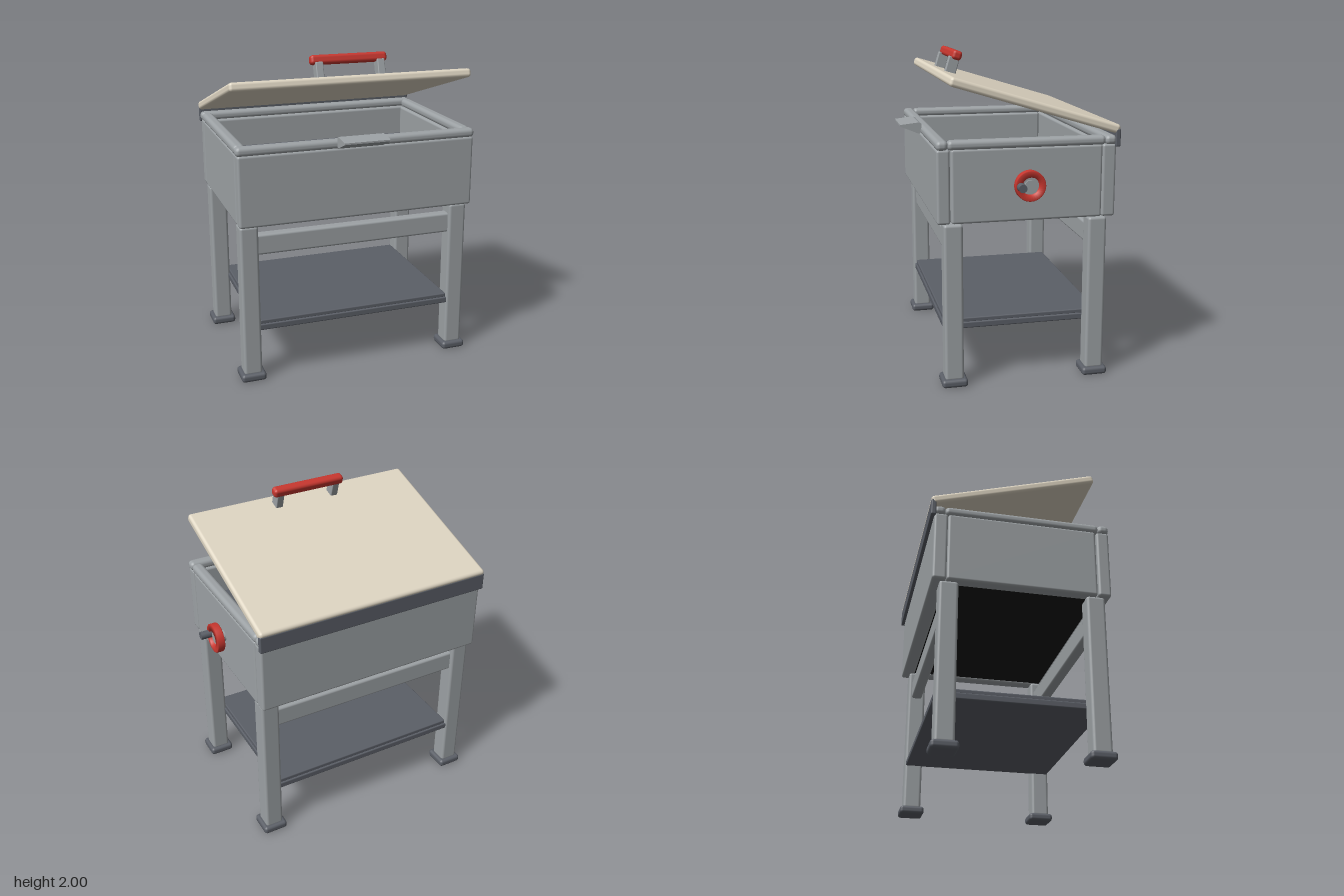
import * as THREE from 'three';
import { RoundedBoxGeometry } from 'three/addons/geometries/RoundedBoxGeometry.js';

function material(name, color) {
  const m = new THREE.MeshStandardMaterial({ color });
  m.name = name;
  return m;
}

export function createModel() {
  const steel = material('steel grey', 0x9da2a5);
  const dark = material('dark grey', 0x5b5f67);
  const cream = material('cream enamel', 0xdfd6c3);
  const red = material('red', 0xc8372f);
  const black = material('black', 0x141414);

  const model = new THREE.Group();
  model.name = 'grillCart';

  const add = (name, geometry, mat, x, y, z, parent = model) => {
    const mesh = new THREE.Mesh(geometry, mat);
    mesh.name = name;
    mesh.position.set(x, y, z);
    parent.add(mesh);
    return mesh;
  };
  // Rounded block given by its limits on each axis
  const block = (name, mat, [x0, x1], [y0, y1], [z0, z1], r, parent) =>
    add(name, new RoundedBoxGeometry(x1 - x0, y1 - y0, z1 - z0, 2, r), mat,
      (x0 + x1) / 2, (y0 + y1) / 2, (z0 + z1) / 2, parent);
  // Cylinder lying along x
  const rod = (name, mat, r, x0, x1, y, z) => {
    const g = new THREE.CylinderGeometry(r, r, x1 - x0, 24).rotateZ(-Math.PI / 2);
    return add(name, g, mat, (x0 + x1) / 2, y, z);
  };

  const cx = -0.06, cz = -0.053;

  // Legs, feet and long rails
  for (const sz of [-1, 1]) {
    const z = cz + sz * 0.445;
    for (const sx of [-1, 1]) {
      const x = cx + sx * 0.69;
      block('leg', steel, [x - 0.058, x + 0.058], [0.04, 1.025], [z - 0.058, z + 0.058], 0.018);
      block('foot', dark, [x - 0.08, x + 0.08], [0, 0.052], [z - 0.08, z + 0.08], 0.02);
    }
    block('rail', steel, [-0.71, 0.59], [0.83, 0.96], [z - 0.035, z + 0.035], 0.015);
  }

  // Lower shelf with a stepped edge
  block('shelf', dark, [-0.705, 0.585], [0.335, 0.375], [-0.55, 0.443], 0.008);
  block('shelfTop', dark, [-0.695, 0.575], [0.37, 0.4], [-0.54, 0.433], 0.008);

  // Firebox walls
  const wallY = [1.03, 1.475];
  block('frontWall', steel, [-0.817, 0.7], wallY, [0.41, 0.49], 0.016);
  block('backWall', steel, [-0.817, 0.7], wallY, [-0.6, -0.515], 0.016);
  block('leftWall', steel, [0.62, 0.7], wallY, [-0.515, 0.405], 0.016);
  block('rightWall', steel, [-0.817, -0.737], wallY, [-0.515, 0.405], 0.016);

  // Pan floor and blackened underside
  add('panFloor', new THREE.BoxGeometry(1.38, 0.22, 0.94), dark, -0.058, 1.17, -0.053);
  add('underside', new THREE.BoxGeometry(1.38, 0.009, 0.94), black, -0.058, 1.05, -0.053);

  // Rolled rim
  const rimY = [1.468, 1.527];
  block('frontRim', steel, [-0.825, 0.707], rimY, [0.42, 0.492], 0.026);
  block('backRim', steel, [-0.825, 0.707], rimY, [-0.602, -0.53], 0.026);
  block('leftRim', steel, [0.633, 0.705], rimY, [-0.535, 0.425], 0.026);
  block('rightRim', steel, [-0.823, -0.751], rimY, [-0.535, 0.425], 0.026);

  // Wedge-shaped front lip, profile drawn in z and y
  const wedge = new THREE.Shape([
    [0.485, 1.49], [0.5, 1.475], [0.622, 1.526], [0.622, 1.536], [0.505, 1.549], [0.485, 1.54],
  ].map(([z, y]) => new THREE.Vector2(z, y)));
  const lip = new THREE.ExtrudeGeometry(wedge, { depth: 0.29, bevelEnabled: false });
  lip.rotateY(-Math.PI / 2);
  add('frontLip', lip, steel, 0.085, 0, 0);

  // Hinge strip along the back
  block('hingeStrip', dark, [-0.827, 0.71], [1.457, 1.565], [-0.622, -0.59], 0.008);

  // Raised lid with its handle
  const lid = new THREE.Group();
  lid.name = 'lid';
  lid.position.set(cx, 1.713, -0.106);
  lid.rotation.x = -0.293;
  model.add(lid);
  block('lidPanel', cream, [-0.77, 0.77], [-0.028, 0.028], [-0.535, 0.535], 0.02, lid);
  for (const s of [-1, 1]) {
    const x = s * 0.197;
    block('handlePost', steel, [x - 0.024, x + 0.024], [0.02, 0.125], [0.408, 0.476], 0.006, lid);
  }
  block('handleBar', red, [-0.245, 0.245], [0.112, 0.17], [0.402, 0.464], 0.02, lid);

  // Side wheel: shaft, hub, ring and crank knob
  const wy = 1.255, wz = -0.053;
  rod('wheelShaft', steel, 0.035, 0.69, 0.765, wy, wz);
  rod('wheelHub', steel, 0.056, 0.735, 0.755, wy, wz);
  const ring = new THREE.LatheGeometry([
    [0.053, -0.024], [0.088, -0.024], [0.092, -0.02], [0.092, 0.02], [0.088, 0.024],
    [0.053, 0.024], [0.053, -0.024],
  ].map(([r, y]) => new THREE.Vector2(r, y)), 32);
  ring.rotateZ(-Math.PI / 2);
  add('wheelRing', ring, red, 0.753, wy, wz);
  rod('crankKnob', dark, 0.025, 0.76, 0.83, wy, 0.008);

  return model;
}
